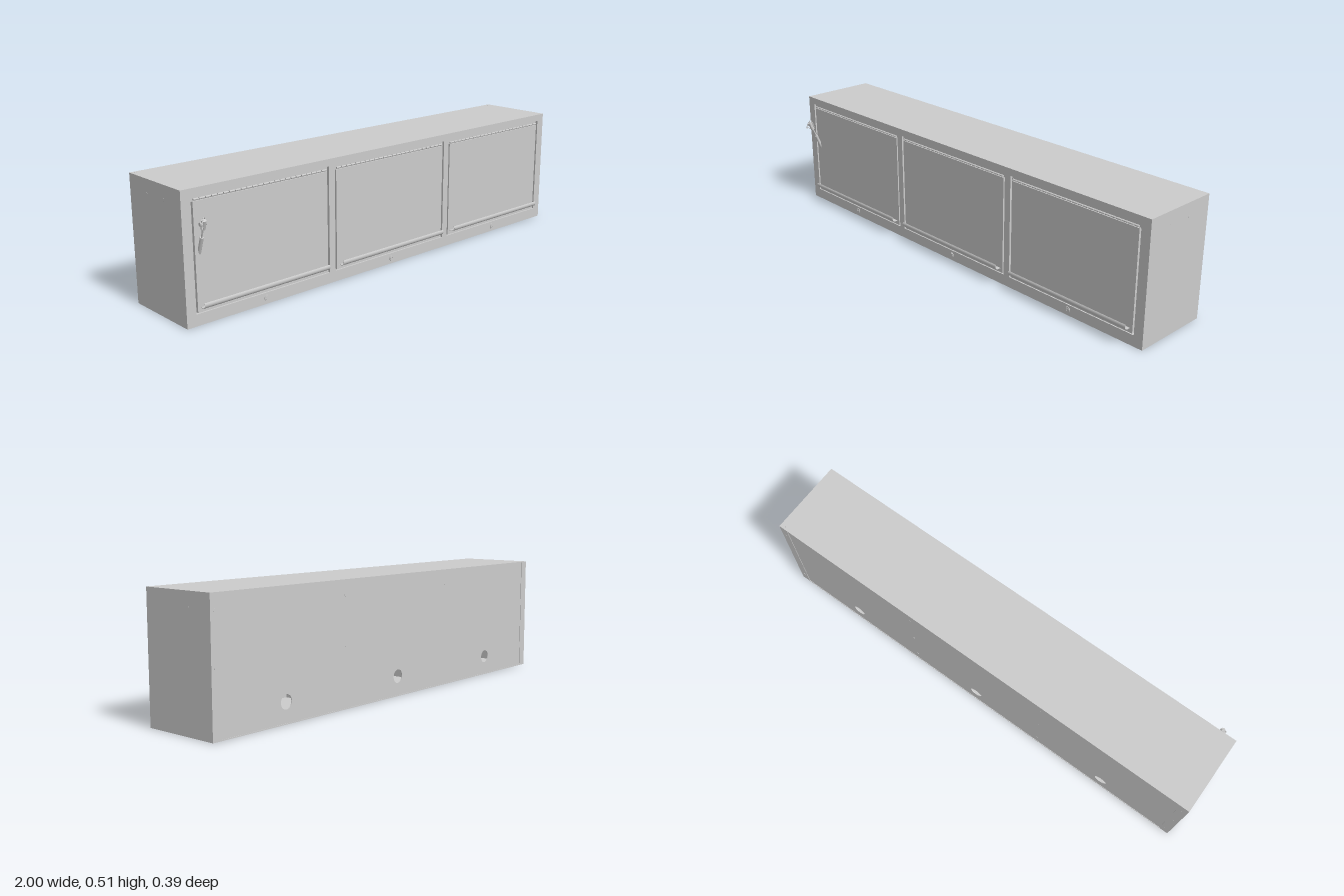
import * as THREE from 'three';

const W = 2, H = 0.505, FRONT = 0.14, BACK = -0.195, T = 0.004;
const BAYS = [-0.65, 0, 0.65];

export function createModel() {
  const model = new THREE.Group();
  model.name = 'wallCabinet';
  const grey = new THREE.MeshStandardMaterial({ color: 0xcccccc });

  const add = (name, geometry, x = 0, y = 0, z = 0, parent = model) => {
    const mesh = new THREE.Mesh(geometry, grey);
    mesh.name = name;
    mesh.position.set(x, y, z);
    parent.add(mesh);
    return mesh;
  };
  // Box given by its minimum and maximum corners
  const box = (name, x0, x1, y0, y1, z0, z1, parent) => add(name,
    new THREE.BoxGeometry(x1 - x0, y1 - y0, z1 - z0),
    (x0 + x1) / 2, (y0 + y1) / 2, (z0 + z1) / 2, parent);
  const rect = (x0, x1, y0, y1, C = THREE.Shape) => new C(
    [[x0, y0], [x1, y0], [x1, y1], [x0, y1]].map(p => new THREE.Vector2(...p)));
  const sheet = (shape, depth) => new THREE.ExtrudeGeometry(shape, { depth, bevelEnabled: false, curveSegments: 24 });
  // Round part between two points
  const rod = (name, a, b, r, parent, sides = 16) => {
    const dir = b.clone().sub(a);
    const mesh = add(name, new THREE.CylinderGeometry(r, r, dir.length(), sides), 0, 0, 0, parent);
    mesh.position.copy(a).add(b).multiplyScalar(0.5);
    mesh.quaternion.setFromUnitVectors(new THREE.Vector3(0, 1, 0), dir.normalize());
    return mesh;
  };
  const v = (x, y, z) => new THREE.Vector3(x, y, z);

  // Sheet metal shell
  box('topPanel', -W / 2, W / 2, H - T, H, BACK, FRONT);
  box('bottomPanel', -W / 2, W / 2, 0, T, BACK, FRONT);
  for (const s of [-1, 1]) {
    const a = s * W / 2, b = s * (W / 2 - T), c = s * (W / 2 - 0.04);
    box('sidePanel', Math.min(a, b), Math.max(a, b), T, H - T, BACK, FRONT);
    box('backFlange', Math.min(a, c), Math.max(a, c), T, H - T, BACK, BACK + 0.003);
    box('divider', s * 0.325 - 0.003, s * 0.325 + 0.003, T, H - T, BACK + 0.006, FRONT - 0.012);
  }

  // Back panel with three cable holes
  const back = rect(-W / 2 + T, W / 2 - T, T, H - T);
  for (const x of BAYS) back.holes.push(new THREE.Path().absarc(x, 0.083, 0.028, 0, Math.PI * 2, true));
  add('backPanel', sheet(back, 0.003), 0, 0, BACK + 0.002);

  // Front frame with three door openings
  const frame = rect(-W / 2 + T, W / 2 - T, T, H - T);
  for (const x of BAYS) frame.holes.push(rect(x - 0.31, x + 0.31, 0.045, 0.476, THREE.Path));
  add('frontFrame', sheet(frame, 0.012), 0, 0, FRONT - 0.012);

  // Curled pull strip section
  const pull = new THREE.Shape();
  pull.moveTo(0.132, 0.0655);
  pull.lineTo(0.152, 0.0655);
  pull.absarc(0.152, 0.08, 0.0145, -Math.PI / 2, 0.65, false);
  pull.absarc(0.152, 0.08, 0.013, 0.65, -Math.PI / 2, true);
  pull.lineTo(0.132, 0.067);
  const pullGeometry = sheet(pull, 0.58).rotateY(-Math.PI / 2).translate(0.29, 0, 0);

  // Doors with folded edges, hinge, pull and lock
  for (const x of BAYS) {
    const door = new THREE.Group();
    door.name = 'door';
    door.position.x = x;
    model.add(door);
    const L = 0.302;
    box('doorPanel', -L, L, 0.048, 0.457, FRONT - 0.006, FRONT - 0.001, door);
    for (const s of [-1, 1]) {
      box('doorFold', s * (L - 0.002) - 0.002, s * (L - 0.002) + 0.002, 0.048, 0.457, FRONT - 0.025, FRONT - 0.006, door);
      box('doorStop', s * 0.308 - 0.014, s * 0.308 + 0.014, 0.045, 0.476, FRONT - 0.031, FRONT - 0.027, door);
    }
    box('hingeLeaf', -0.308, 0.308, 0.455, 0.476, FRONT - 0.012, FRONT - 0.008, door);
    const knuckles = 24, step = 0.6 / knuckles;
    for (let i = 0; i < knuckles; i++) {
      const k = add('hingeKnuckle', new THREE.CylinderGeometry(0.004, 0.004, step * 0.88, 10),
        -0.3 + (i + 0.5) * step, 0.463, FRONT - 0.003, door);
      k.rotation.z = Math.PI / 2;
    }
    add('pull', pullGeometry, 0, 0, 0, door);

    // Key lock: bezel, core and slot
    const y = 0.024;
    rod('lockBezel', v(0, y, FRONT - 0.02), v(0, y, FRONT + 0.003), 0.013, door, 24);
    rod('lockCore', v(0, y, FRONT), v(0, y, FRONT + 0.0045), 0.009, door, 24);
    box('keySlot', -0.001, 0.001, y - 0.005, y + 0.005, FRONT + 0.004, FRONT + 0.0052, door);
  }

  // Fasteners on the back, sides and ends of the top
  for (const x of [-0.98, -0.325, 0.325, 0.98]) for (const y of [0.055, 0.25, 0.445]) {
    const z = Math.abs(x) > 0.9 ? BACK : BACK + 0.002;
    rod('backScrew', v(x, y, z - 0.0008), v(x, y, z + 0.004), 0.006);
  }
  for (const s of [-1, 1]) {
    for (const z of [0.027, -0.082])
      rod('sideScrew', v(s * 0.99, 0.45, z), v(s * 1.0006, 0.45, z), 0.006);
    rod('topScrew', v(s * 0.98, H - 0.005, -0.185), v(s * 0.98, H + 0.0006, -0.185), 0.005);
    rod('bottomScrew', v(s * 0.325, 0.003, -0.17), v(s * 0.325, -0.0006, -0.17), 0.005);
  }

  // Gas strut leaning out past the first door
  const strut = new THREE.Group();
  strut.name = 'gasStrut';
  model.add(strut);
  rod('strutBody', v(-0.93, 0.19, 0.103), v(-0.934, 0.329, 0.158), 0.007, strut);
  rod('strutRod', v(-0.934, 0.325, 0.156), v(-0.938, 0.375, 0.177), 0.003, strut);
  rod('strutSocket', v(-0.937, 0.364, 0.173), v(-0.94, 0.398, 0.186), 0.009, strut);
  rod('strutBall', v(-0.955, 0.385, 0.181), v(-0.93, 0.385, 0.181), 0.007, strut);
  // Spring clip looped round the socket
  const clip = new THREE.CatmullRomCurve3([
    v(-0.955, 0.368, 0.194), v(-0.95, 0.39, 0.19), v(-0.937, 0.408, 0.182),
    v(-0.93, 0.395, 0.176), v(-0.932, 0.372, 0.169), v(-0.94, 0.365, 0.178),
    v(-0.95, 0.375, 0.192)], true);
  add('strutClip', new THREE.TubeGeometry(clip, 48, 0.0018, 8, true), 0, 0, 0, strut);

  return model;
}
